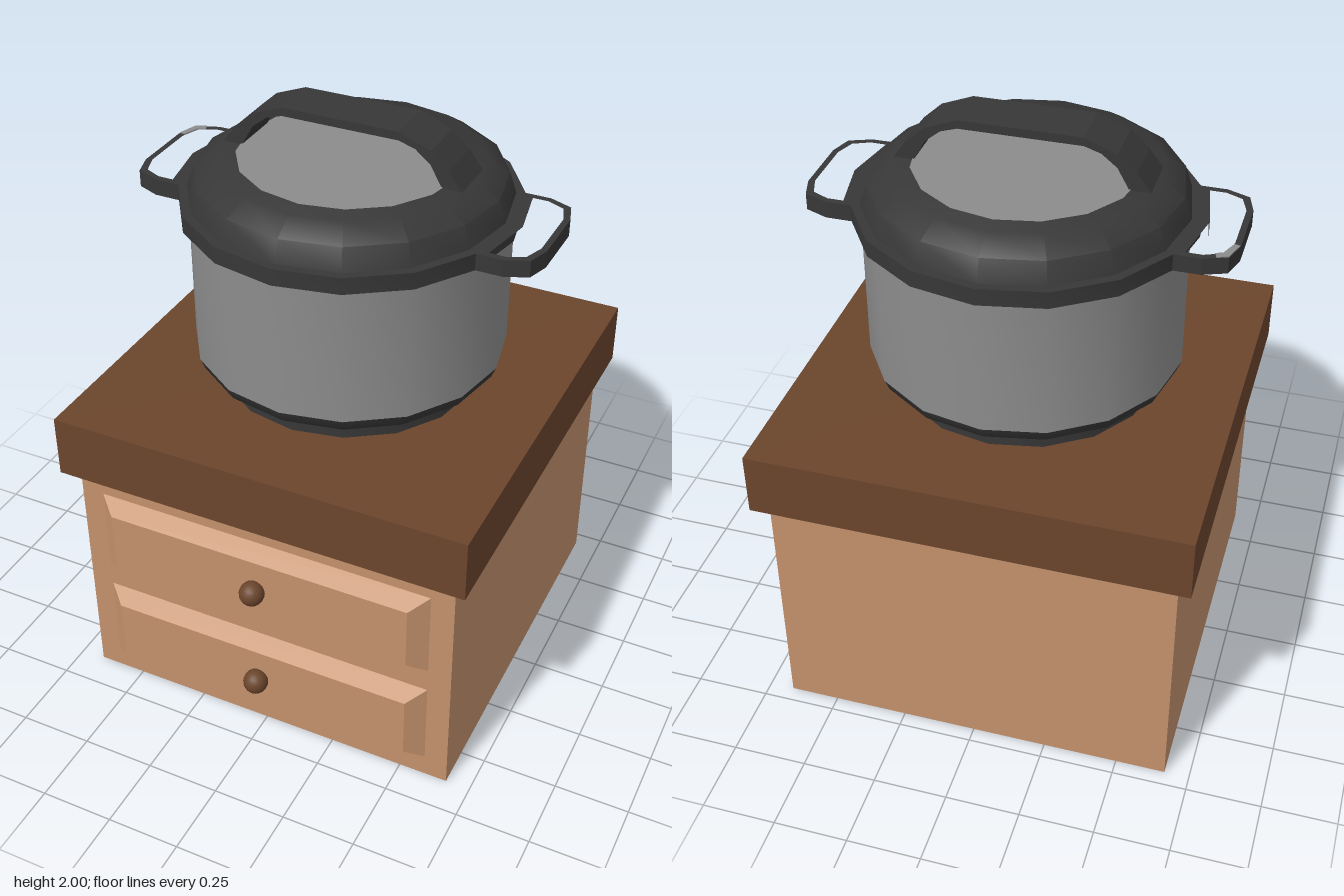
import * as THREE from 'three';
import { toCreasedNormals } from 'three/addons/utils/BufferGeometryUtils.js';

const SIDES = 16;

function material(name, color) {
  const m = new THREE.MeshStandardMaterial({ color });
  m.name = name;
  return m;
}

const vectors = (points) => points.map(([x, y]) => new THREE.Vector2(x, y));

// Turned part: smooth around, sharp at steep changes of profile
const turned = (profile) =>
  toCreasedNormals(new THREE.LatheGeometry(vectors(profile), SIDES), 0.72);

// Mirrors a half outline across its second coordinate
const mirrored = (half) => [...half, ...half.map(([x, y]) => [x, -y]).reverse()];

// Raised panel whose front face is smaller than its back
function bevelledPanel(w, h, depth, inset) {
  const g = new THREE.BoxGeometry(w, h, depth);
  const p = g.attributes.position;
  for (let i = 0; i < p.count; i++) {
    if (p.getZ(i) > 0) {
      p.setX(i, Math.sign(p.getX(i)) * (w / 2 - inset));
      p.setY(i, Math.sign(p.getY(i)) * (h / 2 - inset * 0.75));
    }
  }
  g.computeVertexNormals();
  return g;
}

// Flat outline in the x-z plane, thickened upwards from y = 0
function slab(outline, thickness, hole) {
  const shape = new THREE.Shape(vectors(outline));
  if (hole) shape.holes.push(new THREE.Path(vectors(hole)));
  return new THREE.ExtrudeGeometry(shape, { depth: thickness, bevelEnabled: false })
    .rotateX(-Math.PI / 2);
}

export function createModel() {
  const model = new THREE.Group();
  model.name = 'potOnCabinet';
  model.position.z = -0.032;

  const lightWood = material('lightWood', 0xc4916c);
  const darkWood = material('darkWood', 0x6b452c);
  const black = material('blackPlastic', 0x373737);
  const steel = material('steel', 0x8c8c8c);

  const add = (parent, name, geometry, mat, x = 0, y = 0, z = 0) => {
    const mesh = new THREE.Mesh(geometry, mat);
    mesh.name = name;
    mesh.position.set(x, y, z);
    parent.add(mesh);
    return mesh;
  };

  // Cabinet
  const cabinet = new THREE.Group();
  cabinet.name = 'cabinet';
  model.add(cabinet);
  add(cabinet, 'cabinetBody', new THREE.BoxGeometry(1.334, 0.862, 1.334), lightWood, 0, 0.431);
  add(cabinet, 'cabinetTop', new THREE.BoxGeometry(1.428, 0.213, 1.428), darkWood, 0, 0.9685);
  for (const [name, y] of [['lower', 0.234], ['upper', 0.627]]) {
    add(cabinet, name + 'Drawer', bevelledPanel(1.176, 0.308, 0.048, 0.058), lightWood, 0, y, 0.691);
    add(cabinet, name + 'Knob', new THREE.SphereGeometry(0.042, 16, 12), darkWood, 0, y, 0.736);
  }

  // Pot
  const pot = new THREE.Group();
  pot.name = 'pot';
  model.add(pot);
  add(pot, 'potFoot', turned([[0.434, 1.075], [0.434, 1.137]]), black);
  add(pot, 'potBottom',
    turned([[0.4, 1.137], [0.475, 1.137], [0.503, 1.16], [0.518, 1.197]]), black);
  add(pot, 'potWall', turned([[0.518, 1.197], [0.518, 1.672]]), steel);

  // Lid with its rim and flat window
  add(pot, 'lidRim',
    turned([[0.5, 1.672], [0.547, 1.672], [0.547, 1.728], [0.5, 1.728]]), black);
  add(pot, 'lid',
    turned([[0.518, 1.728], [0.495, 1.8], [0.425, 1.846], [0, 1.846]]), black);
  add(pot, 'lidWindow', new THREE.CircleGeometry(0.36, SIDES).rotateX(-Math.PI / 2),
    steel, 0, 1.849);

  // Arched grip across the lid
  const outer = [[-0.41, 1.84], [-0.36, 1.905], [-0.3, 1.96], [-0.196, 2]];
  const inner = [[-0.196, 1.972], [-0.25, 1.955], [-0.3, 1.915], [-0.342, 1.84]];
  const flip = (pts) => pts.map(([x, y]) => [-x, y]).reverse();
  const arch = [...outer, ...flip(outer), ...flip(inner), ...inner];
  add(pot, 'lidGrip', new THREE.ExtrudeGeometry(new THREE.Shape(vectors(arch)),
    { depth: 0.166, bevelEnabled: false }), black, 0, 0, -0.083);

  // Side handles
  const rim = mirrored([[0.5, 0.21], [0.59, 0.21], [0.665, 0.18], [0.688, 0.105]]);
  const opening = [
    ...mirrored([[0.537, 0.188], [0.59, 0.188], [0.645, 0.163], [0.668, 0.097]]),
    [0.573, 0],
  ];
  for (const [name, turn] of [['leftHandle', 0], ['rightHandle', Math.PI]]) {
    add(pot, name, slab(rim, 0.056, opening), black, 0, 1.672).rotation.y = turn;
  }

  // Bare metal patch on one handle
  add(pot, 'handlePatch',
    slab([[-0.63, 0.194], [-0.665, 0.18], [-0.686, 0.112], [-0.667, 0.108], [-0.645, 0.163], [-0.622, 0.173]], 0.004),
    steel, 0, 1.727);

  return model;
}
